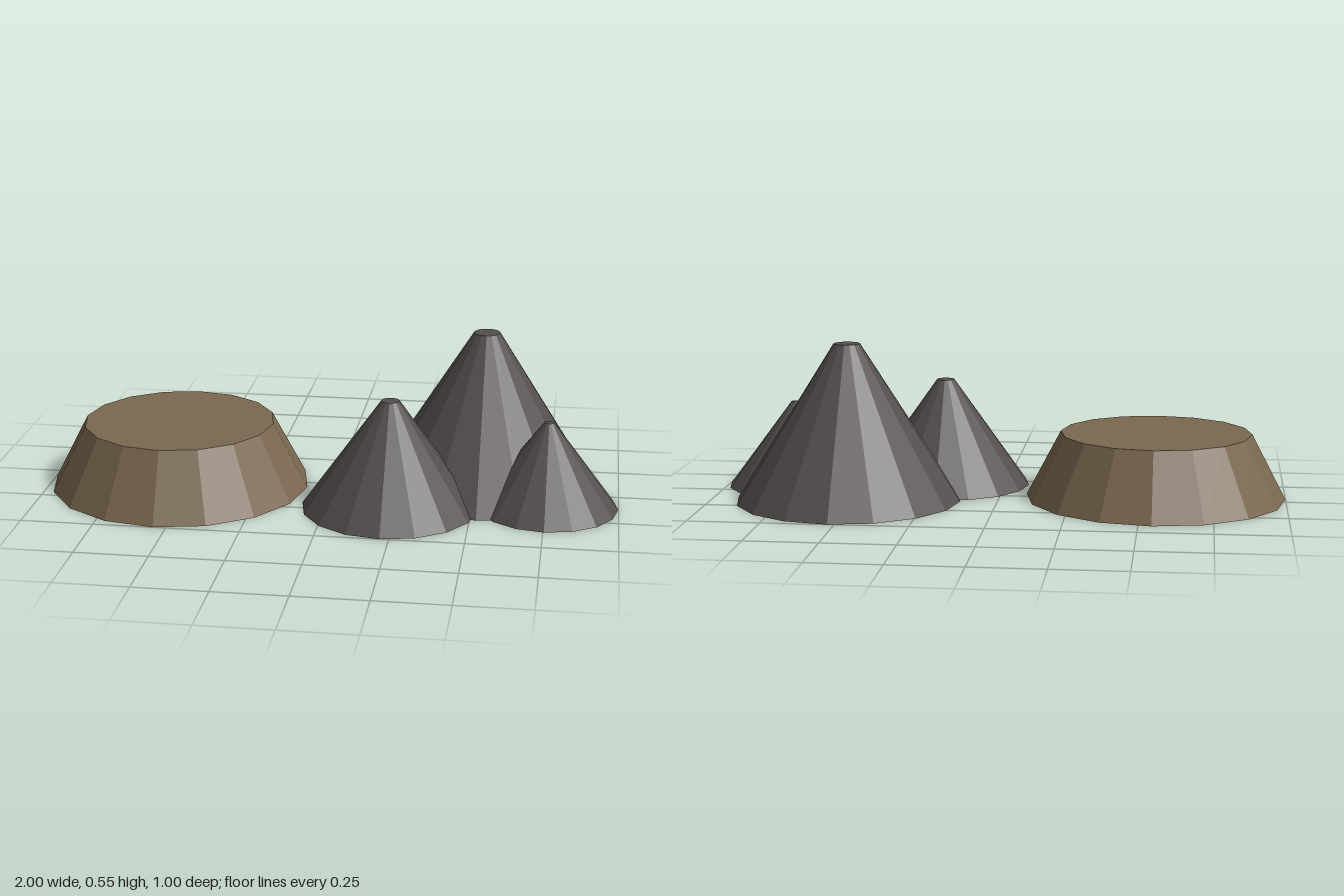
import * as THREE from 'three';

export function createModel() {
  const model = new THREE.Group();
  model.name = 'landforms';

  const sandstone = new THREE.MeshStandardMaterial({ color: 0x7a6850, flatShading: true });
  sandstone.name = 'brown sandstone';
  const rock = new THREE.MeshStandardMaterial({ color: 0x544f4e, flatShading: true });
  rock.name = 'dark grey rock';

  // A 16-sided truncated cone standing on the ground
  function mound(name, material, x, z, topRadius, baseRadius, height) {
    const geometry = new THREE.CylinderGeometry(topRadius, baseRadius, height, 16);
    const mesh = new THREE.Mesh(geometry, material);
    mesh.name = name;
    mesh.position.set(x, height / 2, z);
    model.add(mesh);
  }

  // Broad flat-topped plateau
  mound('plateau', sandstone, -0.545, 0.044, 0.335, 0.455, 0.23);

  // Cluster of three overlapping peaks
  mound('tallPeak', rock, 0.523, -0.106, 0.046, 0.394, 0.55);
  mound('middlePeak', rock, 0.219, 0.197, 0.031, 0.303, 0.383);
  mound('smallPeak', rock, 0.754, 0.12, 0.017, 0.245, 0.305);

  return model;
}
